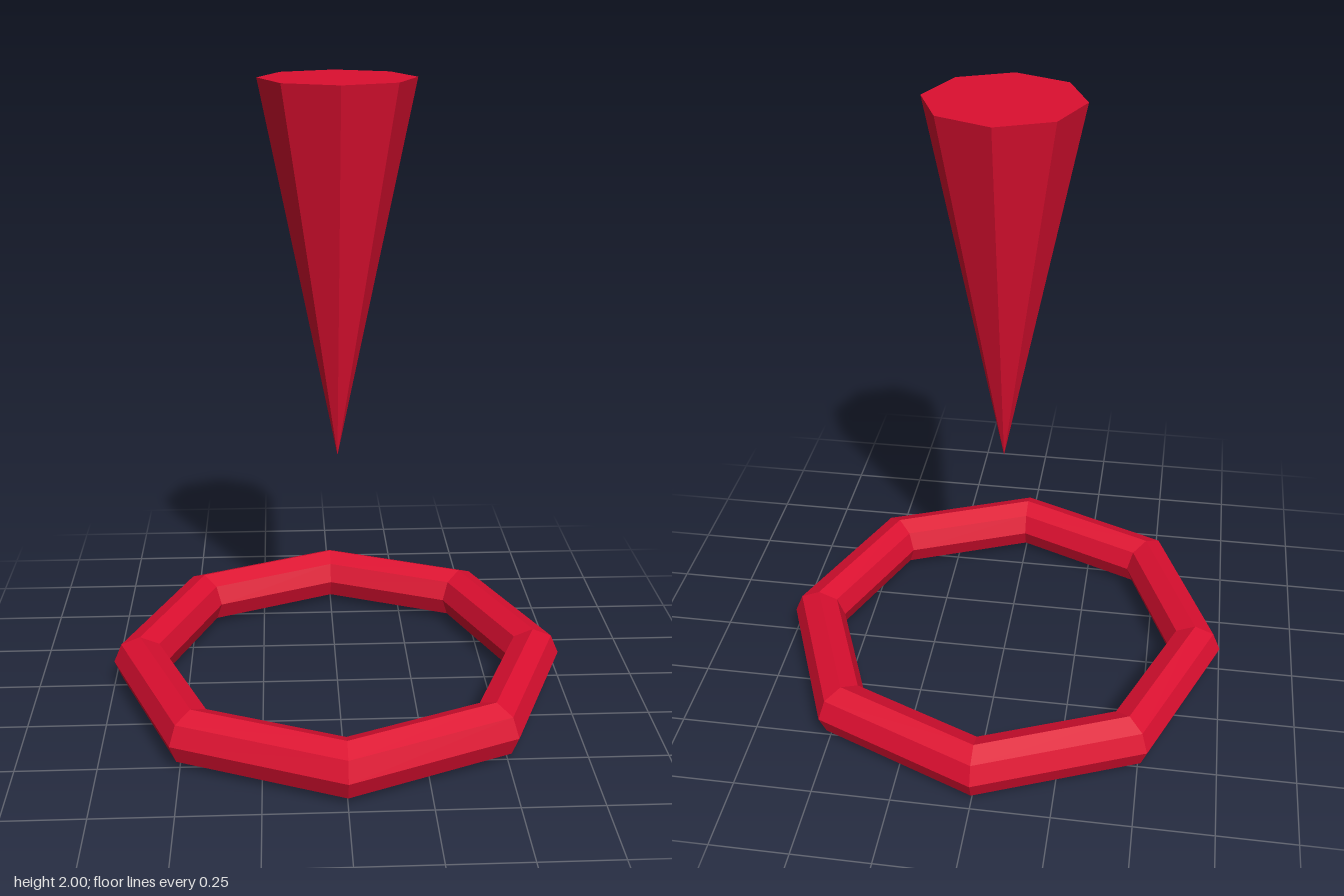
import * as THREE from 'three';

export function createModel() {
  const group = new THREE.Group();
  const red = new THREE.MeshStandardMaterial({ color: 0xdc0f30, flatShading: true });

  const add = (name, geometry, y) => {
    const mesh = new THREE.Mesh(geometry, red);
    mesh.name = name;
    mesh.position.y = y;
    group.add(mesh);
  };

  // Octagonal ring lying flat on the ground
  const ringRadius = 0.658, tubeRadius = 0.089;
  add('groundRing', new THREE.TorusGeometry(ringRadius, tubeRadius, 8, 8).rotateX(-Math.PI / 2), tubeRadius);

  // Eight-sided cone hovering above the ring, pointing down
  const tipY = 0.815, topY = 2;
  add('pointerCone', new THREE.ConeGeometry(0.238, topY - tipY, 8).rotateX(Math.PI), (tipY + topY) / 2);

  return group;
}
